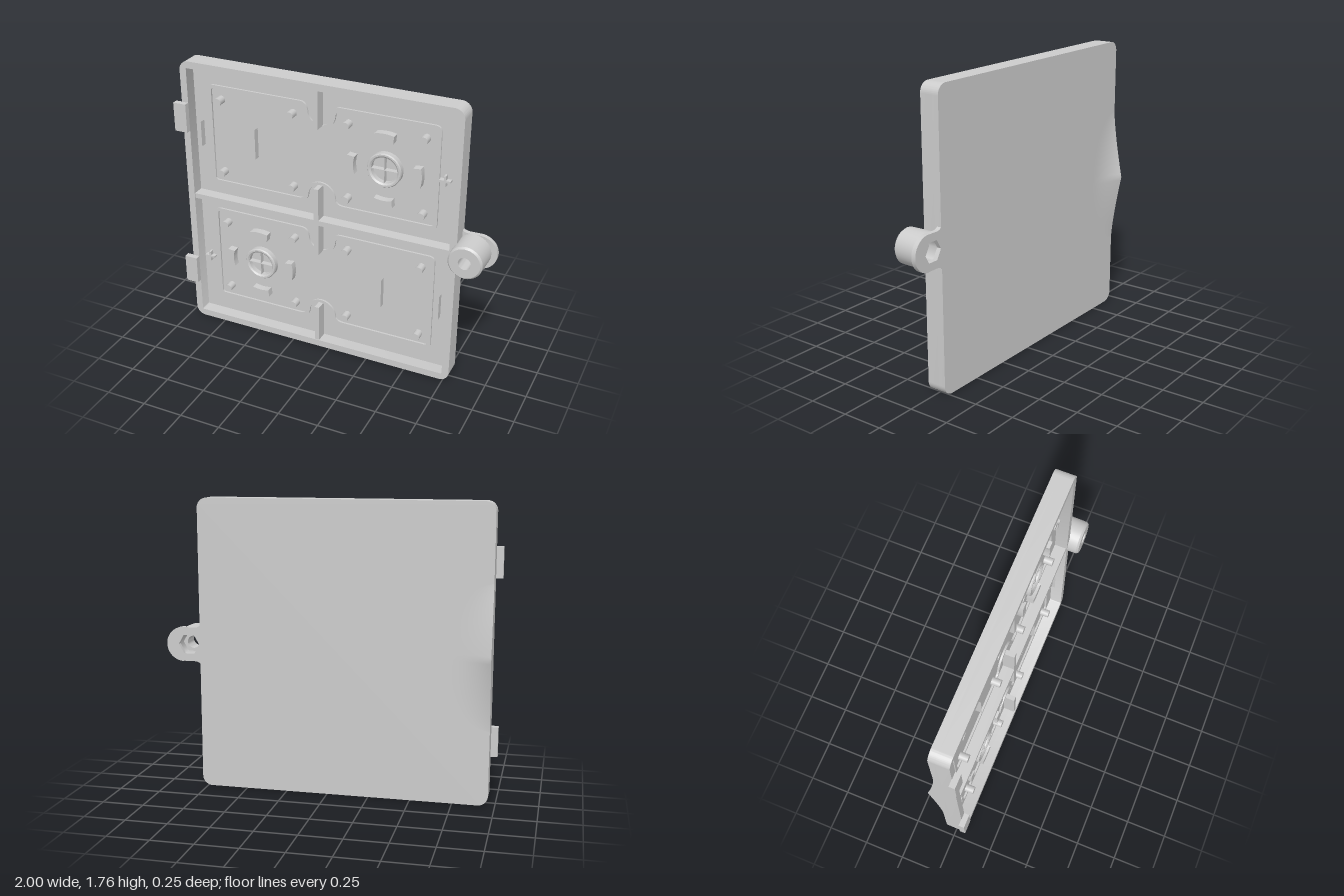
import * as THREE from 'three';
import { toCreasedNormals, mergeGeometries } from 'three/addons/utils/BufferGeometryUtils.js';

const material = new THREE.MeshStandardMaterial({ color: 0xcccccc, side: THREE.DoubleSide });
const BACK = -0.062, FLOOR = -0.02, FRONT = 0.057;
const CX = -0.0875, CY = 0.88, W = 1.745, H = 1.76;

function add(parent, name, geometry, x = 0, y = 0, z = 0) {
  const mesh = new THREE.Mesh(geometry, material);
  mesh.name = name;
  mesh.position.set(x, y, z);
  parent.add(mesh);
  return mesh;
}

// Extrude a shape between two z levels, with crisp edges
function slab(shape, z0, z1) {
  const g = new THREE.ExtrudeGeometry(shape, { depth: z1 - z0, bevelEnabled: false, curveSegments: 12 });
  return toCreasedNormals(g.translate(0, 0, z0), 0.6);
}

function box(x0, x1, y0, y1, z0, z1) {
  return new THREE.BoxGeometry(x1 - x0, y1 - y0, z1 - z0)
    .translate((x0 + x1) / 2, (y0 + y1) / 2, (z0 + z1) / 2);
}

function roundedRect(w, h, r) {
  const s = new THREE.Shape();
  s.absarc(w / 2 - r, h / 2 - r, r, 0, Math.PI / 2);
  s.absarc(-w / 2 + r, h / 2 - r, r, Math.PI / 2, Math.PI);
  s.absarc(-w / 2 + r, -h / 2 + r, r, Math.PI, Math.PI * 1.5);
  s.absarc(w / 2 - r, -h / 2 + r, r, Math.PI * 1.5, Math.PI * 2);
  s.closePath();
  return s;
}

// Panel border outline with a rounded notch in the middle of top and bottom
function notchedOutline(inset) {
  const x = 0.7275 - inset, y = 0.32 - inset, r = 0.04 - inset, n = 0.078 + inset, cy = 0.27;
  const p = new THREE.Path();
  p.moveTo(x, 0);
  p.lineTo(x, y - r);
  p.quadraticCurveTo(x, y, x - r, y);
  p.lineTo(n + 0.05, y);
  p.quadraticCurveTo(n + 0.008, y, n, cy);
  p.absarc(0, cy, n, 0, Math.PI, true);
  p.quadraticCurveTo(-n - 0.008, y, -n - 0.05, y);
  p.lineTo(-x + r, y);
  p.quadraticCurveTo(-x, y, -x, y - r);
  const half = p.getPoints(10);
  return [...half, ...half.map(v => new THREE.Vector2(-v.x, -v.y))];
}

// Curved block, a piece of a ring
function arcBlock(angle) {
  const s = new THREE.Shape();
  s.absarc(0, 0, 0.23, angle - 0.26, angle + 0.26);
  s.absarc(0, 0, 0.185, angle + 0.3, angle - 0.3, true);
  s.closePath();
  return slab(s, FLOOR, 0.025);
}

function panel(name, plusX, plusY) {
  const g = new THREE.Group();
  g.name = name;

  const border = new THREE.Shape(notchedOutline(0));
  border.holes.push(new THREE.Path(notchedOutline(0.02)));
  add(g, 'panelBorder', slab(border, FLOOR, FLOOR + 0.012));

  for (const s of [-1, 1]) {
    add(g, 'shortRib', box(-0.015, 0.015, s > 0 ? 0.19 : -0.405, s > 0 ? 0.43 : -0.19, FLOOR, FRONT - 0.005));
    for (const x of [-0.645, -0.175, 0.175, 0.64]) {
      const peg = new THREE.CylinderGeometry(0.024, 0.024, 0.055, 12).rotateX(Math.PI / 2);
      add(g, 'peg', peg, x, s * 0.233, FLOOR + 0.0275);
    }
  }

  // Round seat with a thin cross inside and four guards around it
  const seat = new THREE.Group();
  seat.name = 'roundSeat';
  seat.position.x = 0.407;
  g.add(seat);
  const ring = [[0.08, FLOOR], [0.08, 0.012], [0.09, 0.02], [0.1, 0.02], [0.105, 0.012], [0.105, FLOOR]]
    .map(([r, z]) => new THREE.Vector2(r, z));
  add(seat, 'seatRing', toCreasedNormals(new THREE.LatheGeometry(ring, 24).rotateX(Math.PI / 2), 0.5));
  add(seat, 'seatCross', mergeGeometries([
    box(-0.08, 0.08, -0.002, 0.002, FLOOR, 0.012),
    box(-0.002, 0.002, -0.08, 0.08, FLOOR, 0.012),
  ]));
  for (let i = 0; i < 4; i++) add(seat, 'guard', arcBlock(i * Math.PI / 2));

  // Plus mark, and thin upright fins at the other end
  add(g, 'plusMark', mergeGeometries([
    box(-0.033, 0.033, -0.006, 0.006, FLOOR, FLOOR + 0.03),
    box(-0.006, 0.006, -0.033, 0.033, FLOOR, FLOOR + 0.03),
  ]), plusX, plusY);
  for (const [x, h] of [[-0.41, 0.19], [-0.775, 0.16]]) {
    add(g, 'fin', new THREE.PlaneGeometry(0.04, h).rotateY(Math.PI / 2), x, 0, FLOOR + 0.02);
  }
  return g;
}

// Flared finger pull on the back: a grid whose first column closes the outer side
function fingerPull() {
  const nx = 16, ny = 40;
  const g = new THREE.PlaneGeometry(1, 1, nx, ny);
  const p = g.attributes.position;
  for (let i = 0; i < p.count; i++) {
    const col = i % (nx + 1), row = Math.floor(i / (nx + 1));
    const u = Math.max(0, col - 1) / (nx - 1);
    const t = row / ny * 2 - 1;
    const reach = 0.24 * Math.sqrt(Math.max(0, 1 - t * t));
    const lift = col === 0 ? 0 : 0.066 * Math.pow(1 - Math.abs(t), 1.35) * Math.pow(1 - u, 2.3);
    p.setXYZ(i, -0.96 + u * reach, 0.875 + t * 0.43, BACK - lift);
  }
  return toCreasedNormals(g, 0.6);
}

function lug() {
  const g = new THREE.Group();
  g.name = 'screwLug';
  const x = 0.855, y = 0.88;

  // Back flange blending into the body edge, with a hexagonal hole
  const s = new THREE.Shape();
  s.moveTo(0.77, 0.745);
  s.quadraticCurveTo(0.785, 0.775, 0.82, 0.777);
  s.lineTo(0.89, 0.777);
  s.absarc(0.89, y, 0.105, -Math.PI / 2, Math.PI / 2);
  s.lineTo(0.82, 0.983);
  s.quadraticCurveTo(0.785, 0.985, 0.77, 1.015);
  s.closePath();
  const hex = Array.from({ length: 6 }, (_, i) =>
    new THREE.Vector2(x + 0.065 * Math.cos(i * Math.PI / 3), y + 0.065 * Math.sin(i * Math.PI / 3)));
  s.holes.push(new THREE.Path(hex));
  add(g, 'lugFlange', slab(s, BACK, -0.035));

  // Hexagonal pocket behind a narrower bore
  const pocket = new THREE.CylinderGeometry(0.065, 0.065, 0.055, 6, 1, true)
    .rotateY(Math.PI / 6).rotateX(Math.PI / 2).rotateZ(Math.PI / 3);
  add(g, 'nutPocket', pocket.toNonIndexed(), x, y, -0.0075);
  const profile = [[0.038, 0.02], [0.038, 0.125], [0.092, 0.125], [0.102, 0.113], [0.105, -0.035]]
    .map(([r, z]) => new THREE.Vector2(r, z));
  add(g, 'lugBoss', toCreasedNormals(new THREE.LatheGeometry(profile, 28).rotateX(Math.PI / 2), 0.5), x, y);
  add(g, 'pocketFloor', new THREE.RingGeometry(0.038, 0.065, 24), x, y, 0.02);
  return g;
}

export function createModel() {
  const model = new THREE.Group();
  model.name = 'compartmentCover';

  // Tray: back plate, rim wall and dividing rib
  const plate = roundedRect(W, H, 0.06);
  add(model, 'backPlate', slab(plate, BACK, FLOOR), CX, CY);
  const rim = roundedRect(W, H, 0.06);
  rim.holes.push(roundedRect(W - 0.086, H - 0.086, 0.006));
  add(model, 'rimWall', slab(rim, FLOOR, FRONT), CX, CY);
  add(model, 'dividingRib', box(-0.925, 0.745, 0.865, 0.897, FLOOR, FRONT - 0.005));

  // The lower panel is the upper one turned half way round
  const upper = panel('upperPanel', 0.765, 0.005);
  upper.position.set(CX, 1.2925, 0);
  const lower = panel('lowerPanel', 0.778, 0.04);
  lower.position.set(CX, 0.4725, 0);
  lower.rotation.z = Math.PI;
  model.add(upper, lower);

  // Hinge tabs on the right-hand edge
  for (const y of [0.355, 1.41]) {
    add(model, 'hingeTab', box(-1, -0.917, y - 0.09, y + 0.09, FRONT - 0.002, 0.09));
  }

  add(model, 'fingerPull', fingerPull());
  model.add(lug());
  return model;
}
